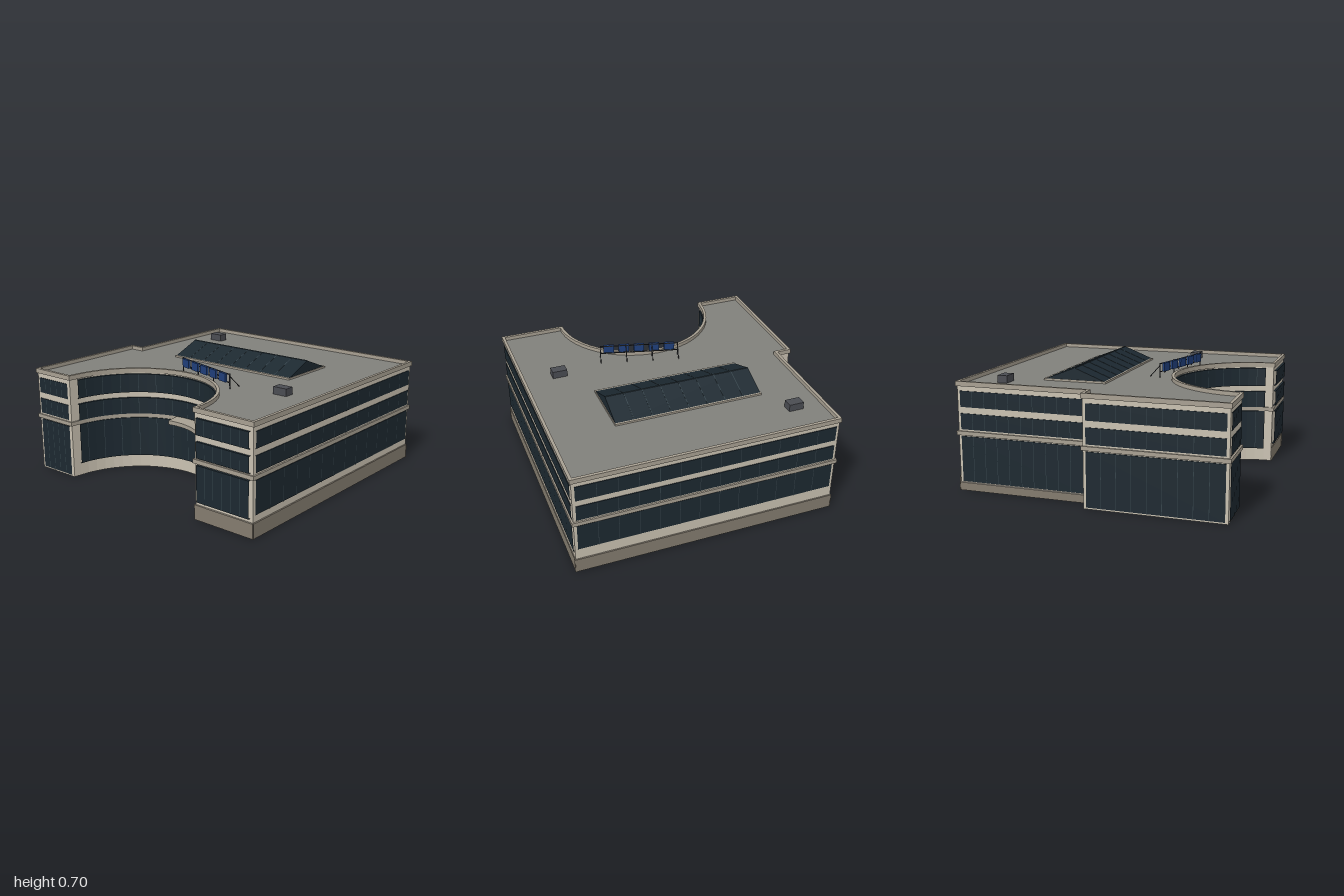
import * as THREE from 'three';
import { mergeGeometries } from 'three/addons/utils/BufferGeometryUtils.js';

const mat = (color) => new THREE.MeshStandardMaterial({ color, side: THREE.DoubleSide });
const M = {
  cream: mat(0xc9c1b1), base: mat(0x837b6e), ledge: mat(0xa8a092), roof: mat(0x80807b),
  glass: mat(0x1c2830), mullion: mat(0x34434a), unit: mat(0x4a4c52), sign: mat(0x1f3f7a), steel: mat(0x2a2c30),
};
const TILT = 0.262; // the whole plan is turned by 15 degrees

// Sweeps a profile of [outward offset, height] along a plan path of [x, z], with mitred corners
function sweep(path, profile, closed = false) {
  const n = path.length;
  const normal = (i) => {
    const a = path[(i + n) % n], b = path[(i + 1) % n];
    return new THREE.Vector2(b[1] - a[1], a[0] - b[0]).normalize();
  };
  const rows = path.map((p, i) => {
    const n1 = normal(closed || i > 0 ? i - 1 : 0);
    const n2 = normal(closed || i < n - 1 ? i : n - 2);
    const m = n1.clone().add(n2).divideScalar(1 + n1.dot(n2));
    return profile.map(([o, y]) => [p[0] + m.x * o, y, p[1] + m.y * o]);
  });
  const pos = [];
  for (let i = 0; i < (closed ? n : n - 1); i++) {
    const r = rows[i], s = rows[(i + 1) % n];
    for (let j = 0; j < profile.length - 1; j++) {
      pos.push(...r[j], ...r[j + 1], ...s[j + 1], ...r[j], ...s[j + 1], ...s[j]);
    }
  }
  const g = new THREE.BufferGeometry();
  g.setAttribute('position', new THREE.Float32BufferAttribute(pos, 3));
  g.computeVertexNormals();
  return g;
}

const band = (from, to, y0, y1) => [[from, y0], [to, y0], [to, y1], [from, y1]];
const lerp = (a, b, t) => [a[0] + (b[0] - a[0]) * t, a[1] + (b[1] - a[1]) * t];

export function createModel() {
  const model = new THREE.Group();
  const add = (name, geometry, material, parent = model) => {
    const mesh = new THREE.Mesh(geometry, material);
    mesh.name = name;
    parent.add(mesh);
    return mesh;
  };
  const box = (name, size, at, material, parent) => {
    const b = add(name, new THREE.BoxGeometry(...size), material, parent);
    b.position.set(...at);
    return b;
  };

  // Plan outline, with a round courtyard bitten out of one side
  const A = [-1, -0.66], B = [-0.21, -0.865], C = [-0.185, -0.775], D = [0.585, -0.975];
  const E = [0.99, 0.56], F = [-0.565, 0.965], G = [-0.67, 0.572], H = [-0.92, -0.37];
  const centre = [-0.78, 0.1], R = 0.486;
  const onCircle = (t, r = R) => [centre[0] + r * Math.cos(t), centre[1] + r * Math.sin(t)];
  const arc = [G];
  for (let i = 1; i < 28; i++) arc.push(onCircle(1.341 - (3.202 * i) / 28));
  arc.push(H);
  const outline = [A, B, C, D, E, F, ...arc];

  // Hollow shell, open underneath
  add('walls', sweep(outline, [[-0.008, 0], [-0.008, 0.62]], true), M.cream);
  const shape = new THREE.Shape(outline.map(([x, z]) => new THREE.Vector2(x, -z)));
  const roof = add('roof', new THREE.ShapeGeometry(shape).rotateX(-Math.PI / 2), M.roof);
  roof.position.y = 0.617;
  add('parapet', sweep(outline, [[-0.008, 0.612], [0, 0.612], [0, 0.64], [-0.018, 0.64], [-0.018, 0.617]], true), M.ledge);
  add('middleLedge', sweep(outline, band(-0.008, 0.002, 0.328, 0.352), true), M.ledge);

  // Straight facades: plinth height, sill of the ground floor glazing, bays, glazing offset
  const facades = [
    ['back', C, D, 0.05, 0.055, 10, -0.004],
    ['side', D, E, 0.09, 0.16, 13, -0.004],
    ['front', E, F, 0.09, 0.13, 13, -0.004],
    ['frontWing', F, G, 0.09, 0.11, 6, 0.006],
    ['backWing', A, B, 0, 0.01, 9, -0.004],
    ['backWingEnd', H, A, 0, 0.01, 5, -0.004],
  ];
  for (const [name, a, b, plinth, sill, bays, off] of facades) {
    const len = Math.hypot(b[0] - a[0], b[1] - a[1]);
    const m = 0.025 / len, run = 1 - 2 * m;
    if (plinth) add(name + 'Plinth', sweep([a, b], [[-0.004, 0], [-0.004, plinth - 0.004], [-0.008, plinth]]), M.base);
    const panes = [], bars = [];
    for (const [y0, y1] of [[sill, 0.322], [0.362, 0.455], [0.492, 0.585]]) {
      panes.push(sweep([lerp(a, b, m), lerp(a, b, 1 - m)], band(-0.008, off, y0, y1)));
      for (let k = 1; k < bays; k++) {
        const t = m + (run * k) / bays, w = 0.0015 / len;
        bars.push(sweep([lerp(a, b, t - w), lerp(a, b, t + w)], band(off, off + 0.002, y0, y1)));
      }
    }
    add(name + 'Windows', mergeGeometries(panes), M.glass);
    add(name + 'Mullions', mergeGeometries(bars), M.mullion);
  }

  // Curved courtyard glazing
  const curve = arc.slice(1, -1), panes = [], bars = [];
  for (const [y0, y1] of [[0.08, 0.327], [0.353, 0.455], [0.49, 0.605]]) {
    panes.push(sweep(curve, band(-0.008, 0.005, y0, y1)));
    for (let i = 1; i < curve.length - 1; i += 2) {
      const p = curve[i];
      bars.push(sweep([lerp(p, curve[i - 1], 0.03), lerp(p, curve[i + 1], 0.03)], band(0.005, 0.007, y0, y1)));
    }
  }
  add('courtyardWindows', mergeGeometries(panes), M.glass);
  add('courtyardMullions', mergeGeometries(bars), M.mullion);

  // Entrance canopy following the curve
  const canopy = new THREE.Shape();
  canopy.absarc(0, 0, 0.485, -0.44, 0.44, false);
  canopy.absarc(0, 0, 0.39, 0.44, -0.44, true);
  const canopyMesh = add('canopy', new THREE.ExtrudeGeometry(canopy, { depth: 0.025, bevelEnabled: false, curveSegments: 12 }).rotateX(-Math.PI / 2), M.ledge);
  canopyMesh.position.set(centre[0], 0.327, centre[1]);

  // Gabled skylight with glazing bars
  const skylight = new THREE.Group();
  skylight.name = 'skylight';
  skylight.position.set(0.195, 0.617, -0.095);
  skylight.rotation.y = TILT;
  model.add(skylight);
  const gable = (depth, rise) => new THREE.ExtrudeGeometry(
    new THREE.Shape([[-0.187, 0], [0.187, 0], [0.187, 0.008 + rise], [0, 0.081 + rise], [-0.187, 0.008 + rise]].map((p) => new THREE.Vector2(...p))),
    { depth, bevelEnabled: false }).translate(0, 0, -depth / 2);
  add('skylightGlass', gable(0.9, 0), M.glass, skylight);
  box('skylightCurb', [0.382, 0.012, 0.908], [0, 0.005, 0], M.ledge, skylight);
  for (let i = 1; i < 8; i++) add('skylightBar', gable(0.004, 0.0015), M.mullion, skylight).position.z = -0.45 + (0.9 * i) / 8;
  box('skylightRidge', [0.006, 0.004, 0.9], [0, 0.081, 0], M.mullion, skylight);

  // Rooftop units
  for (const [x, z] of [[0.415, -0.74], [-0.087, 0.6]]) {
    box('rooftopUnit', [0.06, 0.045, 0.09], [x, 0.638, z], M.unit).rotation.y = TILT;
  }

  // Blank sign panels on a braced frame above the courtyard
  const sign = new THREE.Group();
  sign.name = 'roofSign';
  model.add(sign);
  for (let i = 0; i < 5; i++) box('signPanel', [0.014, 0.05, 0.065], [-0.272, 0.677, -0.095 + i * 0.095], M.sign, sign);
  for (const y of [0.652, 0.7]) box('signRail', [0.005, 0.005, 0.49], [-0.261, y, 0.095], M.steel, sign);
  for (let i = 0; i < 4; i++) {
    const z = -0.148 + i * 0.162;
    box('signPost', [0.005, 0.09, 0.005], [-0.261, 0.66, z], M.steel, sign);
    const path = new THREE.LineCurve3(new THREE.Vector3(-0.261, 0.69, z), new THREE.Vector3(-0.195, 0.62, z));
    add('signBrace', new THREE.TubeGeometry(path, 1, 0.0025, 5), M.steel, sign);
  }
  return model;
}
